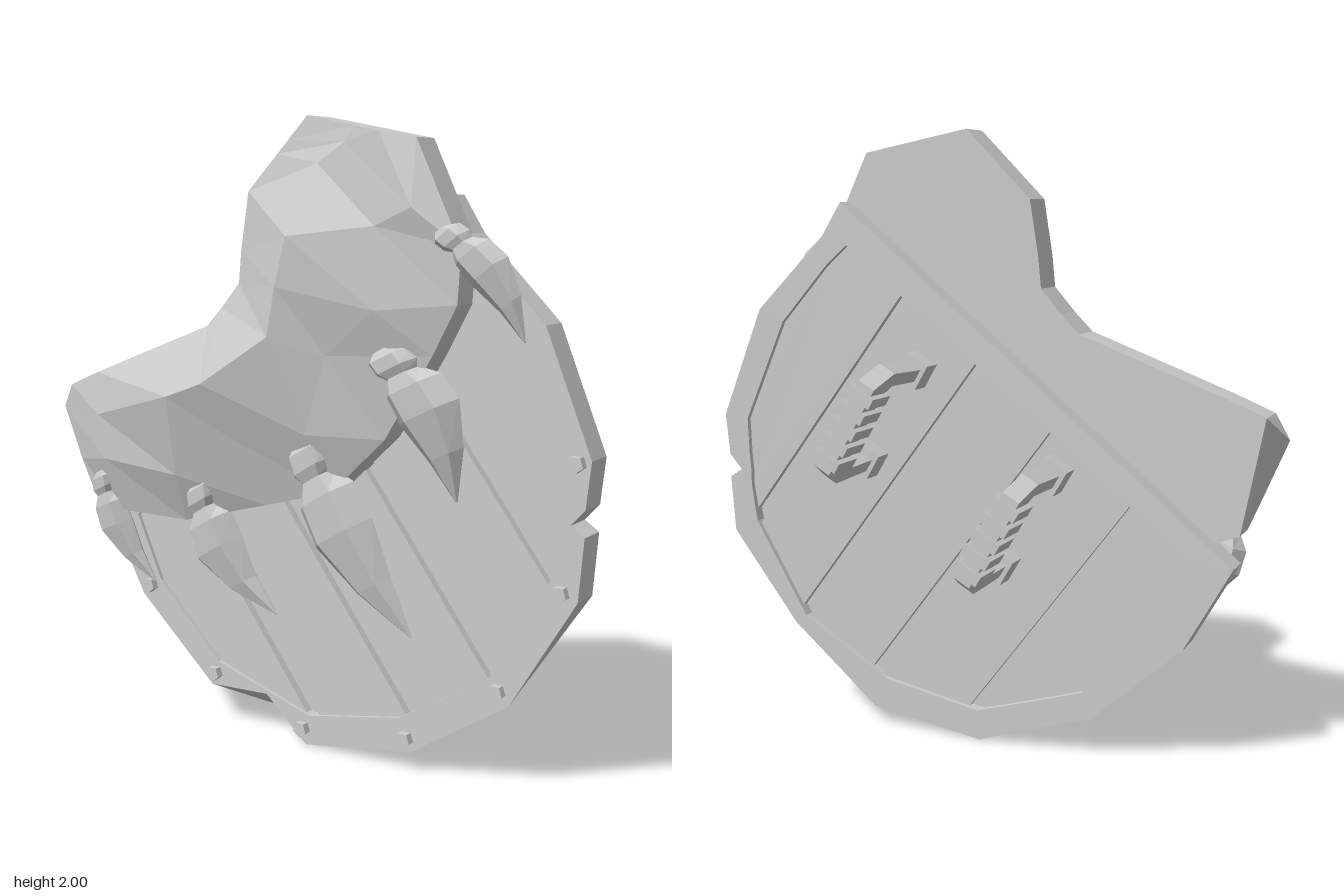
import * as THREE from 'three';

const material = new THREE.MeshStandardMaterial({ color: 0xcccccc, flatShading: true, side: THREE.DoubleSide });
const V = (x, y, z) => new THREE.Vector3(x, y, z);

function add(parent, name, geometry, x = 0, y = 0, z = 0) {
  const mesh = new THREE.Mesh(geometry, material);
  mesh.name = name;
  mesh.position.set(x, y, z);
  parent.add(mesh);
  return mesh;
}

// Skin over a row of equal-length loops; a closed row joins its ends, an open one is capped
function loft(rows, closed = false) {
  const tris = [], n = rows[0].length, count = rows.length;
  for (let i = 0; i < (closed ? count : count - 1); i++) {
    const a = rows[i], b = rows[(i + 1) % count];
    for (let j = 0; j < n; j++) {
      const k = (j + 1) % n;
      tris.push([a[j], b[j], b[k]], [a[j], b[k], a[k]]);
    }
  }
  if (!closed) {
    const first = rows[0], last = rows[count - 1];
    for (let j = 1; j < n - 1; j++) {
      tris.push([first[0], first[j], first[j + 1]], [last[0], last[j + 1], last[j]]);
    }
  }
  // Turn the faces outward if the enclosed volume is negative
  const volume = tris.reduce((s, [a, b, c]) => s + a.dot(b.clone().cross(c)), 0);
  const points = tris.flatMap(([a, b, c]) => (volume < 0 ? [a, c, b] : [a, b, c]));
  const geometry = new THREE.BufferGeometry().setFromPoints(points);
  geometry.computeVertexNormals();
  return geometry;
}

function slab(points, z0, z1) {
  const shape = new THREE.Shape(points.map(([x, y]) => new THREE.Vector2(x, y)));
  return new THREE.ExtrudeGeometry(shape, { depth: z1 - z0, bevelEnabled: false }).translate(0, 0, z0);
}

// Keep the part of a polygon where side(p) >= 0
function clip(poly, side) {
  return poly.flatMap((p, i) => {
    const q = poly[(i + 1) % poly.length], a = side(p), b = side(q), out = a >= 0 ? [p] : [];
    if (a * b < 0) {
      const t = a / (a - b);
      out.push([p[0] + (q[0] - p[0]) * t, p[1] + (q[1] - p[1]) * t]);
    }
    return out;
  });
}

// Rim stations: outer x, y, inner x, y, then shifts of the outer front and back corners
const rim = [
  [0.49, 1.77, 0.47, 1.63], [0.56, 1.66, 0.55, 1.56], [0.81, 1.41, 0.72, 1.37],
  [0.96, 1.04, 0.87, 1.03], [0.945, 0.9, 0.865, 0.9], [0.9, 0.85, 0.86, 0.85],
  [0.945, 0.82, 0.86, 0.8], [0.93, 0.63, 0.84, 0.67], [0.72, 0.28, 0.65, 0.35, 0, 0, -0.03, 0.04],
  [0.38, 0.06, 0.34, 0.165], [-0.01, 0, 0, 0.1], [-0.2, 0.067, -0.19, 0.158, 0.03, 0.073, 0, 0],
  [-0.4, 0.13, -0.37, 0.215], [-0.7, 0.4, -0.62, 0.46], [-0.85, 0.67, -0.72, 0.68],
];

function buildShield(group) {
  add(group, 'rim', loft(rim.map(([x, y, u, v, fx = 0, fy = 0, bx = 0, by = 0]) => [
    V(x + fx, y + fy, 0.115), V(u, v, 0.115), V(u, v, 0.015), V(x + bx, y + by, 0.015),
  ]), true));

  // Backing plate with planks standing proud of the grooves between them
  const inner = rim.map(([, , u, v]) => [u, v]);
  add(group, 'backingPlate', slab(inner, 0.055, 0.075));
  const across = (p) => p[0] * 0.8 + p[1] * 0.6;
  const grooves = [-2, 0.07, 0.415, 0.745, 1.085, 3];
  for (let i = 0; i < 5; i++) {
    const left = clip(inner, (p) => across(p) - grooves[i] - 0.02);
    const plank = clip(left, (p) => grooves[i + 1] - 0.02 - across(p));
    add(group, 'plank', slab(plank, 0.033, 0.102));
  }

  // Rivets round the rim
  const rivets = [[0.92, 1.03], [0.88, 0.65], [0.685, 0.32], [0.37, 0.105], [-0.02, 0.055], [-0.38, 0.175], [-0.66, 0.44]];
  for (const [x, y] of rivets) {
    add(group, 'rivet', new THREE.CylinderGeometry(0.026, 0.026, 0.04, 5).rotateX(Math.PI / 2), x, y, 0.12);
  }
}

// Bone stations: inner edge x, y, ridge x, y, z, outer edge x, y
const boneStations = [
  [-0.92, 1.13, -0.97, 1.05, 0.2, -0.85, 0.76],
  [-0.8, 1.18, -0.78, 1.04, 0.24, -0.72, 0.71],
  [-0.32, 1.36, -0.4, 1.14, 0.33, -0.44, 0.71],
  [-0.26, 1.42, -0.26, 1.19, 0.33, -0.11, 0.8],
  [-0.19, 1.5, 0, 1.35, 0.33, 0.14, 0.87],
  [-0.18, 1.6, 0.03, 1.5, 0.33, 0.33, 1.05],
  [-0.15, 1.78, 0.07, 1.65, 0.33, 0.49, 1.31],
  [-0.04, 1.89, 0.13, 1.86, 0.25, 0.57, 1.46],
  [0, 1.93, 0.22, 1.92, 0.24, 0.58, 1.62],
  [0.07, 2, 0.25, 1.965, 0.235, 0.43, 1.93],
];

function buildBone(group) {
  add(group, 'jawBone', loft(boneStations.map(([ax, ay, rx, ry, rz, bx, by], i) => {
    const t = i % 2 ? 0.45 : 0.62; // alternate the shoulder for a faceted look
    return [
      V(ax, ay, 0.09), V(ax, ay, 0.215), V(rx, ry, rz),
      V(rx + (bx - rx) * t, ry + (by - ry) * t, Math.min(rz, 0.26)),
      V(bx, by, 0.19), V(bx, by, 0.09),
    ];
  })));
}

// Tooth profile: distance along, relative width, relative depth
const toothProfile = [
  [0, 0.35, 0.3], [0.05, 0.75, 0.5], [0.13, 0.75, 0.55], [0.18, 0.55, 0.45],
  [0.27, 0.95, 0.6], [0.45, 1, 0.65], [0.72, 0.58, 0.42], [1, 0.03, 0.03],
];

function tooth(rootX, rootY, tipX, tipY, width, bend) {
  const dx = tipX - rootX, dy = tipY - rootY, len = Math.hypot(dx, dy);
  const nx = -dy / len, ny = dx / len;
  return loft(toothProfile.map(([t, w, d]) => {
    const shift = bend * Math.sin(Math.PI * t), z = 0.2 - 0.06 * t;
    return Array.from({ length: 6 }, (_, j) => {
      const a = (j * Math.PI) / 3, s = shift + Math.cos(a) * w * width;
      return V(rootX + dx * t + nx * s, rootY + dy * t + ny * s, z + Math.sin(a) * d * width);
    });
  }));
}

function buildTeeth(group) {
  const teeth = [
    [-0.8, 0.84, -0.62, 0.46, 0.075, -0.05], [-0.36, 0.86, -0.11, 0.43, 0.105, -0.075],
    [0.05, 1.03, 0.4, 0.44, 0.12, -0.04], [0.33, 1.32, 0.55, 0.88, 0.11, 0.05],
    [0.52, 1.67, 0.76, 1.36, 0.07, 0.045],
  ];
  teeth.forEach((t) => add(group, 'tooth', tooth(...t)));
}

// Bow-shaped grip with ribs, standing out behind the shield
function buildHandle(group, x, y) {
  const handle = new THREE.Group();
  handle.name = 'handle';
  handle.position.set(x, y, 0);
  handle.rotation.z = -1.04;
  const bow = [
    [-0.2, 0.03], [-0.21, 0.23], [-0.16, 0.32], [0.16, 0.32], [0.21, 0.23], [0.2, 0.03],
    [0.155, 0.03], [0.16, 0.2], [0.13, 0.235], [-0.13, 0.235], [-0.16, 0.2], [-0.155, 0.03],
  ];
  add(handle, 'bow', slab(bow, -0.03, 0.03).rotateX(-Math.PI / 2));
  for (const s of [-1, 1]) add(handle, 'handleFoot', new THREE.BoxGeometry(0.09, 0.09, 0.1), s * 0.178, 0, 0.01);
  for (let i = -2; i <= 2; i++) {
    add(handle, 'gripRib', new THREE.BoxGeometry(0.036, 0.095, 0.115), i * 0.06, 0, -0.275);
  }
  group.add(handle);
}

export function createModel() {
  const model = new THREE.Group();
  model.name = 'boneShield';
  buildShield(model);
  buildBone(model);
  buildTeeth(model);
  buildHandle(model, -0.18, 0.77);
  buildHandle(model, 0.3, 1.08);
  return model;
}
